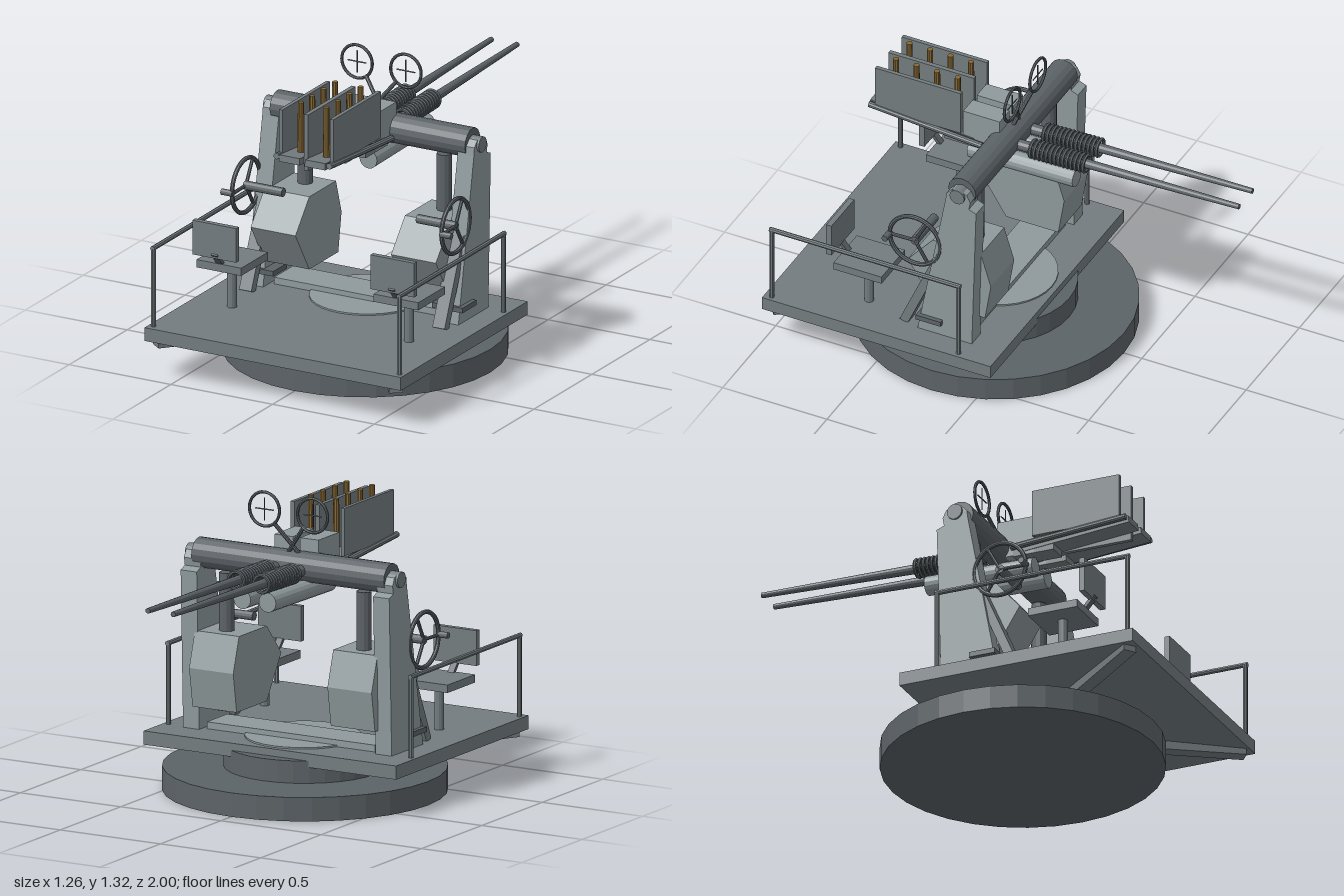
import * as THREE from 'three';

const mat = (color) => new THREE.MeshStandardMaterial({ color, flatShading: true, side: THREE.DoubleSide });
const DARK = mat(0x5c6367), MID = mat(0x737c7f), LIGHT = mat(0x8f9a9c), BRASS = mat(0x8a6a35);
const V = (x, y, z) => new THREE.Vector3(x, y, z);

export function createModel() {
  const root = new THREE.Group();
  const add = (name, geo, m, parent = root) => {
    const mesh = new THREE.Mesh(geo, m);
    mesh.name = name;
    parent.add(mesh);
    return mesh;
  };
  // box given by its limits on each axis
  const box = (name, x0, x1, y0, y1, z0, z1, m) => {
    const b = add(name, new THREE.BoxGeometry(Math.abs(x1 - x0), y1 - y0, z1 - z0), m);
    b.position.set((x0 + x1) / 2, (y0 + y1) / 2, (z0 + z1) / 2);
    return b;
  };
  // round bar from a to b
  const rod = (name, a, b, r0, r1, m, seg = 12) => {
    const c = add(name, new THREE.CylinderGeometry(r1, r0, a.distanceTo(b), seg), m);
    c.position.copy(a).lerp(b, 0.5);
    c.quaternion.setFromUnitVectors(V(0, 1, 0), b.clone().sub(a).normalize());
    return c;
  };
  // rectangular bar from a to b
  const beam = (name, a, b, w, h, m) => {
    const c = add(name, new THREE.BoxGeometry(w, h, a.distanceTo(b)), m);
    c.position.copy(a).lerp(b, 0.5);
    c.lookAt(b);
    return c;
  };
  // side profile of [z, y] points, extruded from x0 to x1
  const slab = (name, pts, x0, x1, m) => {
    const shape = new THREE.Shape(pts.map(([z, y]) => new THREE.Vector2(-z, y)));
    const g = new THREE.ExtrudeGeometry(shape, { depth: x1 - x0, bevelEnabled: false });
    g.rotateY(Math.PI / 2);
    g.translate(x0, 0, 0);
    return add(name, g, m);
  };
  const sideSlab = (name, pts, s, a, b, m) => slab(name, pts, Math.min(s * a, s * b), Math.max(s * a, s * b), m);

  // base and deck
  rod('baseRing', V(0, 0, 0.197), V(0, 0.105, 0.197), 0.612, 0.612, DARK, 32);
  rod('turntable', V(0, 0.105, 0.197), V(0, 0.203, 0.197), 0.35, 0.35, DARK, 32);
  box('deck', -0.63, 0.63, 0.175, 0.235, -0.095, 1, MID);
  rod('deckPlate', V(0, 0.235, 0.18), V(0, 0.242, 0.18), 0.25, 0.25, LIGHT, 32);
  box('crossBeam', -0.42, 0.42, 0.235, 0.265, 0.08, 0.25, LIGHT);

  // trunnion tube between the pillars
  const TY = 0.997, TZ = 0.117;
  rod('trunnionTube', V(-0.48, TY, TZ), V(0.48, TY, TZ), 0.066, 0.066, DARK, 16);

  // pillar outline with a rounded head
  const pillar = [[0.31, 0.235], [0.05, 0.235], [0.03, 0.93]];
  for (let i = 0; i <= 6; i++) {
    const a = Math.PI + 0.5 - (i / 6) * (Math.PI + 0.7);
    pillar.push([TZ + 0.06 * Math.cos(a), 0.972 + 0.058 * Math.sin(a)]);
  }

  for (const s of [1, -1]) {
    // pillar, trunnion cap, gear housing
    sideSlab('pillar', pillar, s, 0.44, 0.52, LIGHT);
    rod('trunnionCap', V(s * 0.46, TY, TZ), V(s * 0.53, TY, TZ), 0.035, 0.035, MID, 16);
    sideSlab('gearHousing', [[0.27, 0.67], [0.04, 0.67], [-0.008, 0.515], [0.02, 0.34], [0.27, 0.34], [0.39, 0.53]],
      s, 0.235, 0.455, LIGHT);
    rod('driveShaft', V(s * 0.342, 0.64, TZ), V(s * 0.342, 0.925, TZ), 0.033, 0.033, DARK, 12);
    beam('pillarStrut', V(s * 0.475, 0.235, 0.385), V(s * 0.475, 0.66, 0.2), 0.06, 0.04, MID);
    box('footRest', s * 0.39, s * 0.54, 0.292, 0.315, 0.19, 0.31, DARK);

    // handwheel
    rod('wheelAxle', V(s * 0.33, 0.69, 0.325), V(s * 0.52, 0.69, 0.325), 0.02, 0.02, DARK);
    const rim = add('handwheelRim', new THREE.TorusGeometry(0.121, 0.01, 8, 32), DARK);
    rim.rotation.y = Math.PI / 2;
    rim.position.set(s * 0.515, 0.69, 0.325);
    for (let i = 0; i < 3; i++) {
      const a = Math.PI / 2 + 0.5 + (i * 2 * Math.PI) / 3;
      rod('handwheelSpoke', V(s * 0.515, 0.69, 0.325),
        V(s * 0.515, 0.69 + 0.121 * Math.sin(a), 0.325 + 0.121 * Math.cos(a)), 0.008, 0.008, DARK, 8);
    }
    rod('handwheelGrip', V(s * 0.51, 0.69, 0.446), V(s * 0.565, 0.69, 0.446), 0.014, 0.014, DARK);

    // seat
    rod('seatPost', V(s * 0.435, 0.235, 0.585), V(s * 0.435, 0.435, 0.585), 0.021, 0.021, MID);
    box('seat', s * 0.325, s * 0.545, 0.43, 0.465, 0.47, 0.7, MID);
    beam('seatBracket', V(s * 0.435, 0.445, 0.67), V(s * 0.435, 0.52, 0.735), 0.03, 0.015, DARK);
    box('seatBack', s * 0.33, s * 0.545, 0.5, 0.655, 0.71, 0.735, MID);

    // railing
    for (const z of [0.07, 0.965]) rod('railPost', V(s * 0.605, 0.235, z), V(s * 0.605, 0.59, z), 0.011, 0.011, MID, 8);
    rod('railBar', V(s * 0.605, 0.59, 0.06), V(s * 0.605, 0.59, 0.975), 0.011, 0.011, MID, 8);

    // outrigger under the deck's rear corner
    beam('deckOutrigger', V(s * 0.2, 0.148, 0.46), V(s * 0.59, 0.168, 0.97), 0.06, 0.04, MID);

    // gun barrel, recoil spring, recuperator
    const x = s * 0.063;
    rod('barrel', V(x, 0.99, 0.14), V(x, 1.015, -1), 0.026, 0.012, DARK, 12);
    for (let i = 0; i < 14; i++) {
      const coil = add('recoilSpringCoil', new THREE.TorusGeometry(0.038, 0.008, 6, 20), DARK);
      coil.position.set(x, 0.993 + i * 0.0005, -0.012 - i * 0.0196);
    }
    rod('recuperator', V(x, 0.9, 0.285), V(x, 0.908, -0.22), 0.043, 0.043, LIGHT, 16);

    // receiver and loading tray
    box('receiver', s * 0.018, s * 0.11, 0.95, 1.118, 0.125, 0.3, LIGHT);
    box('receiverTail', s * 0.018, s * 0.11, 0.945, 0.985, 0.2, 0.39, MID);
    beam('loadingTray', V(x, 0.975, 0.25), V(x, 1.018, 0.745), 0.1, 0.03, MID);
    rod('trayRail', V(s * 0.13, 0.98, 0.2), V(s * 0.13, 1.022, 0.74), 0.014, 0.014, MID, 10);
    box('magazineSide', s * 0.116, s * 0.134, 1.015, 1.225, 0.3, 0.71, MID);

    // cartridges
    for (let i = 0; i < 4; i++) {
      const z = 0.35 + i * 0.0985;
      rod('cartridge', V(x, 1.0, z), V(x, 1.25, z), 0.015, 0.013, BRASS, 10);
    }

    // ring sight on its stem
    const cx = s * 0.12, cy = 1.24, cz = 0.06;
    add('sightRing', new THREE.TorusGeometry(0.075, 0.007, 8, 32), DARK).position.set(cx, cy, cz);
    rod('sightCrossBar', V(cx - 0.045, cy, cz), V(cx + 0.045, cy, cz), 0.003, 0.003, DARK, 6);
    rod('sightCrossPost', V(cx, cy - 0.05, cz), V(cx, cy + 0.05, cz), 0.003, 0.003, DARK, 6);
    rod('sightStem', V(-s * 0.03, 1.05, 0.105), V(s * 0.075, 1.185, 0.062), 0.009, 0.009, DARK, 8);
  }
  box('magazineDivider', -0.01, 0.01, 0.97, 1.225, 0.3, 0.71, MID);
  return root;
}
